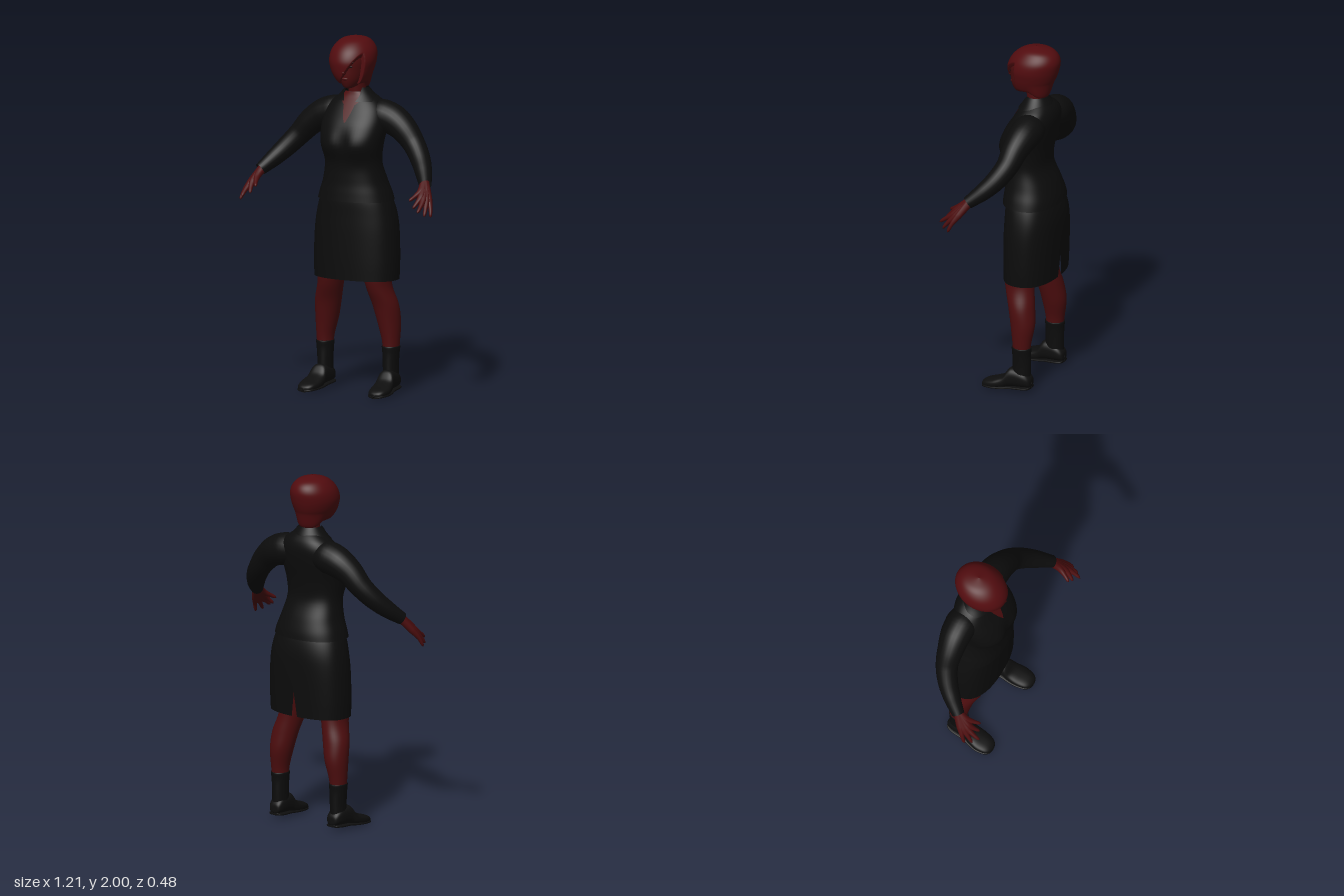
import * as THREE from 'three';
import { mergeVertices } from 'three/addons/utils/BufferGeometryUtils.js';

const mat = (name, color) => new THREE.MeshStandardMaterial({ name, color, side: THREE.DoubleSide });
const { smoothstep, lerp } = THREE.MathUtils;

// Smooth interpolation through rows of numbers, u in 0..1
function sample(rows, u) {
  const f = u * (rows.length - 1), i = Math.min(Math.floor(f), rows.length - 2), t = f - i;
  const at = k => rows[Math.max(0, Math.min(rows.length - 1, k))];
  const [a, b, c, d] = [at(i - 1), at(i), at(i + 1), at(i + 2)];
  return b.map((v, k) => v + 0.5 * t * (c[k] - a[k] +
    t * (2 * a[k] - 5 * v + 4 * c[k] - d[k] + t * (3 * (v - c[k]) + d[k] - a[k]))));
}

function finish(geo) {
  geo.deleteAttribute('normal');
  geo.deleteAttribute('uv');
  const merged = mergeVertices(geo, 1e-5);
  merged.computeVertexNormals();
  return merged;
}

// Stack of oval sections: rows are [y, centreX, halfWidth, frontZ, backZ], bottom to top.
// range(y) gives the start and end angle (0 is the front); bend(p) adjusts each point.
function loft(rows, { power = 1, range = () => [0, 2 * Math.PI], bend = null, side = 1, seg = 40, steps = 5 } = {}) {
  const n = (rows.length - 1) * steps, pos = [], index = [], p = new THREE.Vector3();
  const shape = v => Math.sign(v) * Math.abs(v) ** power;
  for (let i = 0; i <= n; i++) {
    const [y, cx, rx, zf, zb] = sample(rows, i / n);
    const [a, b] = range(y);
    for (let j = 0; j <= seg; j++) {
      const t = lerp(a, b, j / seg);
      p.set(cx * side + rx * shape(Math.sin(t)), y, (zf + zb) / 2 + (zf - zb) / 2 * shape(Math.cos(t)));
      if (bend) bend(p);
      pos.push(p.x, p.y, p.z);
      if (i < n && j < seg) {
        const k = i * (seg + 1) + j, up = k + seg + 1;
        index.push(k, k + 1, up + 1, k, up + 1, up);
      }
    }
  }
  const geo = new THREE.BufferGeometry();
  geo.setAttribute('position', new THREE.Float32BufferAttribute(pos, 3));
  geo.setIndex(index);
  return finish(geo);
}

// Tapered tube through points [x, y, z, radius], optionally rounded at the tip
function limb(points, side, { seg = 24, steps = 36, round = false } = {}) {
  const pts = points.map(([x, y, z]) => new THREE.Vector3(x * side, y, z));
  const curve = new THREE.CatmullRomCurve3(pts);
  const geo = new THREE.TubeGeometry(curve, steps, 1, seg);
  const pos = geo.attributes.position, nor = geo.attributes.normal;
  const dist = [0];
  for (let i = 1; i < pts.length; i++) dist.push(dist[i - 1] + pts[i].distanceTo(pts[i - 1]));
  for (let v = 0; v < pos.count; v++) {
    const u = Math.floor(v / (seg + 1)) / steps, d = u * dist.at(-1);
    let k = 0;
    while (k < dist.length - 2 && d > dist[k + 1]) k++;
    let r = lerp(points[k][3], points[k + 1][3], (d - dist[k]) / (dist[k + 1] - dist[k]));
    if (round) r *= Math.sqrt(Math.max(0, 1 - (Math.max(0, u - 0.9) / 0.1) ** 2));
    const c = curve.getPointAt(u);
    pos.setXYZ(v, c.x + nor.getX(v) * r, c.y + nor.getY(v) * r, c.z + nor.getZ(v) * r);
  }
  return finish(geo);
}

export function createModel() {
  const model = new THREE.Group();
  const skin = mat('skin', 0x4c0d0e), hairRed = mat('hair', 0x520c0f);
  const cloth = mat('black cloth', 0x0c0c0c), leather = mat('shoe leather', 0x0e0e0e), dark = mat('eye dark', 0x1c0606);
  const add = (name, geo, material) => {
    const mesh = new THREE.Mesh(geo, material);
    mesh.name = name;
    model.add(mesh);
    return mesh;
  };

  // Skirt, with a vent at the back hem
  add('skirt', loft([
    [0.64, 0, 0.25, 0.06, -0.23], [0.75, 0, 0.253, 0.062, -0.235], [0.9, 0, 0.248, 0.062, -0.24],
    [1.0, 0, 0.235, 0.06, -0.238], [1.08, 0, 0.213, 0.058, -0.222], [1.14, 0, 0.185, 0.05, -0.195],
  ], { power: 0.85, seg: 64, range: y => {
    const gap = 0.35 * Math.max(0, 0.77 - y);
    return [-Math.PI + gap, Math.PI - gap];
  } }), cloth);

  // Jacket body, with a hollow between the breasts
  const jacket = [
    [1.085, 0, 0.22, 0.08, -0.236], [1.13, 0, 0.207, 0.076, -0.228], [1.2, 0, 0.183, 0.07, -0.205],
    [1.3, 0, 0.165, 0.073, -0.165], [1.4, 0, 0.178, 0.113, -0.172], [1.5, 0, 0.19, 0.08, -0.195],
    [1.58, 0, 0.18, 0.03, -0.207], [1.63, 0, 0.15, -0.002, -0.2], [1.665, 0, 0.105, -0.025, -0.18],
    [1.69, 0, 0.066, -0.035, -0.155],
  ];
  const chest = p => {
    if (p.z > -0.05) p.z -= 0.02 * Math.exp(-((p.x / 0.045) ** 2) - ((p.y - 1.41) / 0.07) ** 2);
  };
  add('jacket', loft(jacket, { power: 0.88, seg: 64, bend: chest }), cloth);

  // Open neckline, a thin skin panel over the jacket front
  const opening = y => 0.015 + Math.max(0, y - 1.53) * 1.7 + Math.max(0, y - 1.62) * 7;
  add('neckline', loft(jacket.slice(5), { power: 0.88, seg: 16, steps: 8,
    range: y => (y < 1.53 ? [0, 0] : [-opening(y), opening(y)]),
    bend: p => { chest(p); p.z += 0.004; } }), skin);

  // Stand-up collar, open at the front
  add('collar', loft([
    [1.64, 0, 0.135, 0.005, -0.19], [1.67, 0, 0.102, -0.012, -0.177],
    [1.70, 0, 0.075, -0.025, -0.158], [1.712, 0, 0.066, -0.035, -0.15],
  ], { range: y => [0.25 + (y - 1.64) * 8, 2 * Math.PI - 0.25 - (y - 1.64) * 8] }), cloth);

  // Neck and head
  add('neck', loft([
    [1.6, 0, 0.055, -0.03, -0.15], [1.67, 0, 0.05, -0.035, -0.142],
    [1.73, 0, 0.047, -0.03, -0.14], [1.8, 0, 0.05, -0.02, -0.14],
  ]), skin);
  add('head', loft([
    [1.716, 0, 0.002, 0.02, 0.01], [1.72, 0, 0.022, 0.036, -0.02], [1.735, 0, 0.044, 0.048, -0.07],
    [1.77, 0, 0.066, 0.061, -0.12], [1.82, 0, 0.079, 0.066, -0.15], [1.88, 0, 0.085, 0.066, -0.16],
    [1.93, 0, 0.07, 0.04, -0.14], [1.96, 0, 0.002, -0.05, -0.06],
  ]), skin);
  const blob = (name, x, y, z, sx, sy, sz, material) => {
    const mesh = add(name, new THREE.SphereGeometry(1, 16, 12), material);
    mesh.position.set(x, y, z);
    mesh.scale.set(sx, sy, sz);
    return mesh;
  };
  blob('nose', 0, 1.812, 0.068, 0.012, 0.014, 0.018, skin);
  blob('noseBridge', 0, 1.835, 0.064, 0.008, 0.026, 0.012, skin);
  blob('lips', 0, 1.775, 0.06, 0.022, 0.008, 0.008, skin);
  for (const s of [1, -1]) {
    blob('eye', s * 0.034, 1.845, 0.057, 0.015, 0.006, 0.005, dark);
    blob('eyebrow', s * 0.036, 1.868, 0.058, 0.02, 0.004, 0.005, dark).rotation.z = s * 0.1;
  }

  // Bobbed hair: a sweeping fringe covers one side, the other side is drawn back from the face
  add('hair', loft([
    [1.765, -0.005, 0.002, -0.06, -0.065], [1.745, -0.004, 0.06, 0.04, -0.13], [1.75, -0.004, 0.08, 0.058, -0.152],
    [1.78, -0.008, 0.1, 0.075, -0.175], [1.82, -0.012, 0.117, 0.084, -0.196], [1.87, -0.013, 0.128, 0.086, -0.212],
    [1.92, -0.013, 0.122, 0.066, -0.218], [1.96, -0.013, 0.098, 0.03, -0.2], [1.985, -0.012, 0.064, -0.015, -0.16],
    [2.0, -0.012, 0.002, -0.08, -0.085],
  ], { seg: 120, steps: 10, bend: p => {
    const open = smoothstep(p.x - (-0.04 + 0.68 * (p.y - 1.74)), 0, 0.01);
    if (p.z > 0.005) p.z = lerp(p.z, 0.005, open);
    p.y -= 0.04 * smoothstep(-p.z, 0.06, 0.14) * smoothstep(1.8 - p.y, 0, 0.05);
  } }), hairRed);

  for (const s of [1, -1]) {
    const name = part => (s > 0 ? 'left' : 'right') + part;

    // Sleeve
    add(name('Sleeve'), limb([
      [0.07, 1.56, -0.11, 0.075], [0.15, 1.555, -0.112, 0.092], [0.22, 1.535, -0.11, 0.087],
      [0.29, 1.49, -0.1, 0.075], [0.36, 1.415, -0.085, 0.063], [0.42, 1.345, -0.045, 0.057],
      [0.47, 1.285, 0.01, 0.049], [0.52, 1.225, 0.08, 0.035],
    ], s), cloth);

    // Hand: each finger runs from the wrist through its knuckle, so together they form the palm
    const fingers = {
      Thumb: [[0.515, 1.195, 0.125], [0.5, 1.17, 0.17], [0.483, 1.15, 0.205]],
      IndexFinger: [[0.53, 1.167, 0.15], [0.523, 1.137, 0.187], [0.512, 1.11, 0.215]],
      MiddleFinger: [[0.545, 1.155, 0.15], [0.553, 1.12, 0.2], [0.553, 1.092, 0.238]],
      RingFinger: [[0.557, 1.15, 0.137], [0.573, 1.107, 0.177], [0.58, 1.068, 0.207]],
      LittleFinger: [[0.562, 1.155, 0.118], [0.587, 1.11, 0.145], [0.6, 1.06, 0.167]],
    };
    for (const [finger, [knuckle, middle, tip]] of Object.entries(fingers)) {
      add(name(finger), limb([[0.507, 1.24, 0.065, 0.026], [...knuckle, 0.02], [...middle, 0.0115], [...tip, 0.008]],
        s, { seg: 12, steps: 24, round: true }), skin);
    }

    // Leg and sock
    add(name('Leg'), loft([
      [0.24, 0.207, 0.045, -0.05, -0.147], [0.3, 0.206, 0.05, -0.045, -0.155], [0.4, 0.195, 0.065, -0.03, -0.17],
      [0.5, 0.18, 0.074, -0.01, -0.16], [0.6, 0.153, 0.071, 0.022, -0.145], [0.7, 0.14, 0.078, 0.035, -0.145],
      [0.95, 0.11, 0.09, 0.03, -0.18],
    ], { side: s }), skin);
    add(name('Sock'), loft([
      [0.06, 0.207, 0.042, -0.045, -0.15], [0.15, 0.206, 0.042, -0.045, -0.152],
      [0.22, 0.207, 0.046, -0.045, -0.152], [0.262, 0.207, 0.05, -0.042, -0.156], [0.264, 0.207, 0.044, -0.05, -0.147],
    ], { side: s }), cloth);

    // Shoe and sole: sections stacked from heel to toe, then laid forward
    const shoe = [
      [-0.16, 0.205, 0.002, -0.05, -0.06], [-0.155, 0.205, 0.032, -0.034, -0.09], [-0.12, 0.207, 0.046, -0.03, -0.122],
      [-0.06, 0.21, 0.048, -0.025, -0.135], [-0.03, 0.212, 0.05, -0.02, -0.128], [0, 0.215, 0.056, -0.012, -0.088],
      [0.05, 0.22, 0.06, -0.005, -0.064], [0.1, 0.222, 0.05, -0.003, -0.048], [0.124, 0.223, 0.03, -0.005, -0.034],
      [0.131, 0.223, 0.002, -0.012, -0.022],
    ];
    add(name('Shoe'), loft(shoe, { side: s, power: 0.8 }).rotateX(Math.PI / 2), leather);
    const sole = shoe.map(([z, x, w], i) => {
      const base = -0.026 * (1 - i / 9);
      return [z, x, w + 0.003, base, base - 0.014];
    });
    add(name('Sole'), loft(sole, { side: s, power: 0.5 }).rotateX(Math.PI / 2), leather);
  }
  return model;
}
